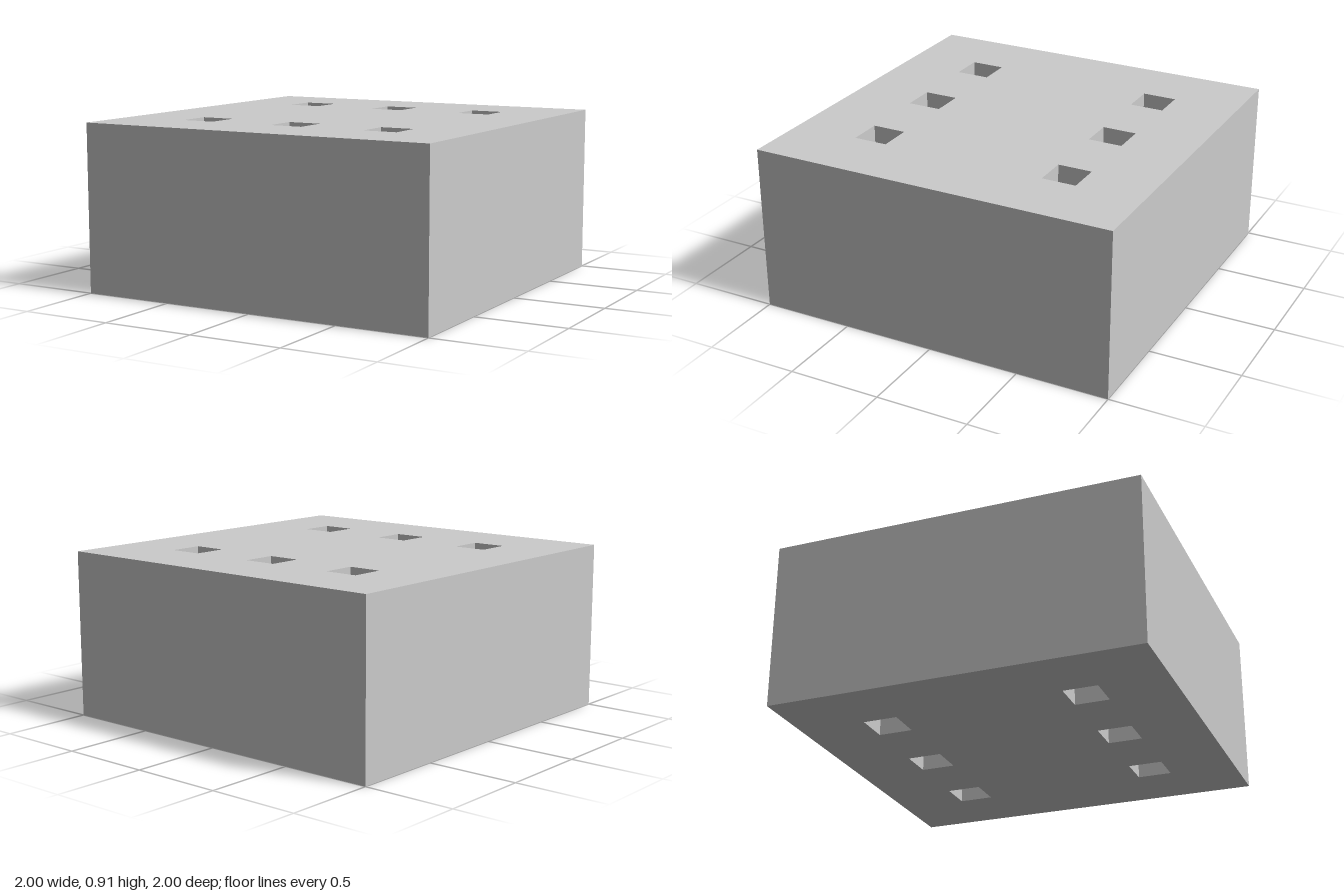
import * as THREE from 'three';

const WIDTH = 2;
const HEIGHT = 0.91;
const HOLE = 0.185;
const SPACING = 0.545;

// Traces a square, centred on (x, y), onto a Shape or Path
function square(path, x, y, size) {
  const h = size / 2;
  path.moveTo(x - h, y - h);
  path.lineTo(x + h, y - h);
  path.lineTo(x + h, y + h);
  path.lineTo(x - h, y + h);
  path.closePath();
  return path;
}

export function createModel() {
  const group = new THREE.Group();
  group.name = 'perforatedBlock';

  // Square outline with two rows of three square holes
  const outline = square(new THREE.Shape(), 0, 0, WIDTH);
  for (const row of [-1, 1]) {
    for (const column of [-1, 0, 1]) {
      outline.holes.push(square(new THREE.Path(), column * SPACING, row * SPACING, HOLE));
    }
  }

  // Block, extruded upwards from the ground with the holes running right through
  const geometry = new THREE.ExtrudeGeometry(outline, { depth: HEIGHT, bevelEnabled: false });
  geometry.rotateX(-Math.PI / 2);
  const material = new THREE.MeshStandardMaterial({ color: 0xcccccc, flatShading: true });
  const block = new THREE.Mesh(geometry, material);
  block.name = 'block';
  group.add(block);

  return group;
}
